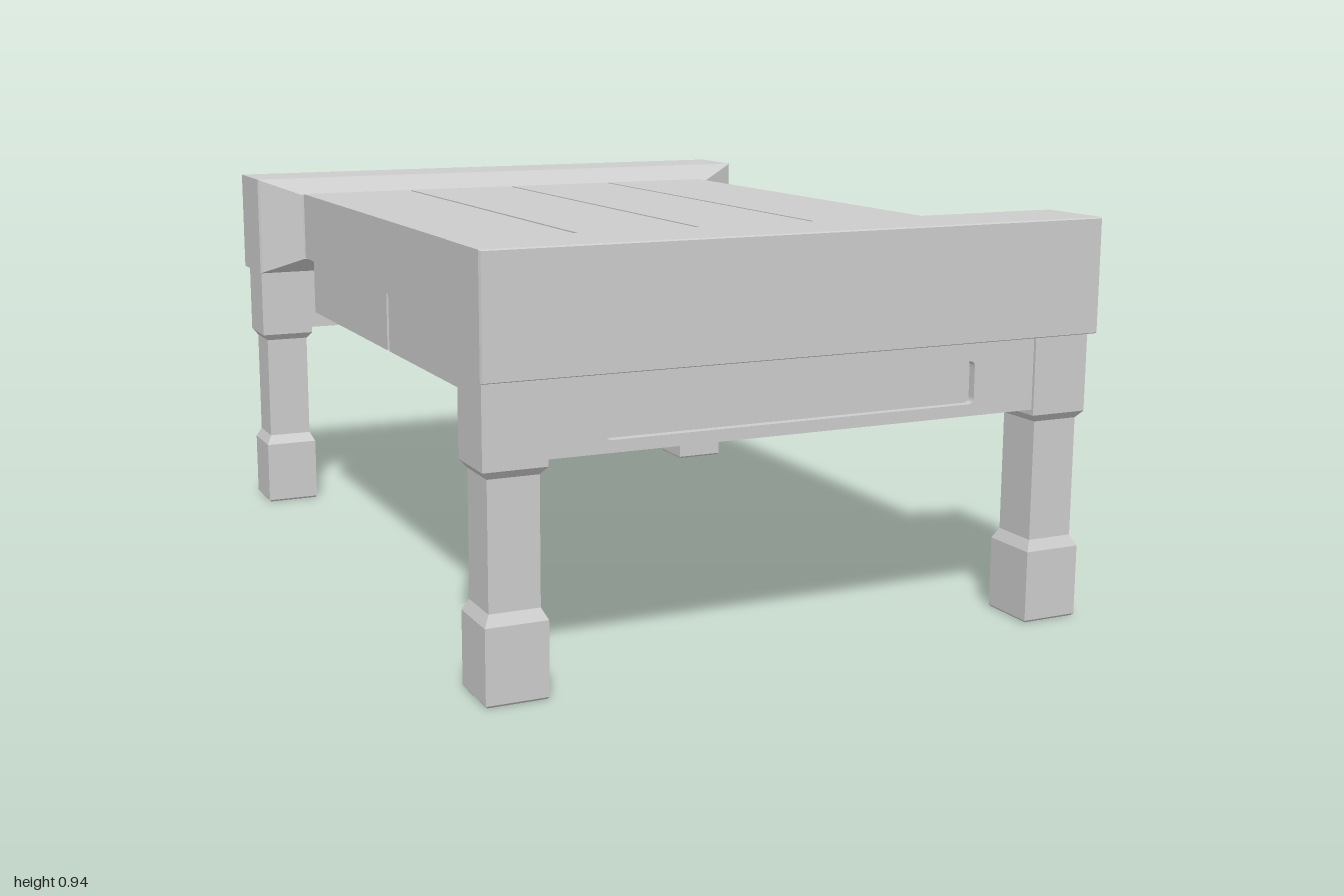
import * as THREE from 'three';

const material = new THREE.MeshStandardMaterial({ color: 0xcccccc, flatShading: true });
const smooth = new THREE.MeshStandardMaterial({ color: 0xcccccc });

function add(parent, name, geometry, x = 0, y = 0, z = 0, mat = material) {
  const mesh = new THREE.Mesh(geometry, mat);
  mesh.name = name;
  mesh.position.set(x, y, z);
  parent.add(mesh);
  return mesh;
}

// Box given by its limits
function block(parent, name, x0, x1, y0, y1, z0, z1) {
  return add(parent, name, new THREE.BoxGeometry(x1 - x0, y1 - y0, z1 - z0),
    (x0 + x1) / 2, (y0 + y1) / 2, (z0 + z1) / 2);
}

// Stack of rectangles along y, each [y, half width, half depth]
function loft(sections) {
  const positions = [], index = [];
  for (const [y, w, d] of sections) positions.push(-w, y, d, w, y, d, w, y, -d, -w, y, -d);
  for (let s = 0; s < sections.length - 1; s++) {
    for (let i = 0; i < 4; i++) {
      const a = s * 4 + i, b = s * 4 + (i + 1) % 4;
      index.push(a, b, b + 4, a, b + 4, a + 4);
    }
  }
  const t = (sections.length - 1) * 4;
  index.push(t, t + 1, t + 2, t, t + 2, t + 3, 0, 2, 1, 0, 3, 2);
  const indexed = new THREE.BufferGeometry();
  indexed.setAttribute('position', new THREE.Float32BufferAttribute(positions, 3));
  indexed.setIndex(index);
  const geometry = indexed.toNonIndexed();
  geometry.computeVertexNormals();
  return geometry;
}

// Apron front with a sunken, round-cornered slot
function slottedPanel(slotX) {
  const shape = new THREE.Shape([[-0.6, 0.505], [0.6, 0.505], [0.6, 0.68], [-0.6, 0.68]]
    .map(([x, y]) => new THREE.Vector2(x, y)));
  const x0 = slotX - 0.45, x1 = slotX + 0.45, y0 = 0.532, y1 = 0.63, r = 0.015;
  const slot = new THREE.Path();
  slot.moveTo(x0 + r, y0);
  slot.lineTo(x1 - r, y0);
  slot.quadraticCurveTo(x1, y0, x1, y0 + r);
  slot.lineTo(x1, y1 - r);
  slot.quadraticCurveTo(x1, y1, x1 - r, y1);
  slot.lineTo(x0 + r, y1);
  slot.quadraticCurveTo(x0, y1, x0, y1 - r);
  slot.lineTo(x0, y0 + r);
  slot.quadraticCurveTo(x0, y0, x0 + r, y0);
  shape.holes.push(slot);
  return new THREE.ExtrudeGeometry(shape, { depth: 0.02, bevelEnabled: false, curveSegments: 5 });
}

// One end: beam, apron and two legs
function createEnd(name, slotX) {
  const end = new THREE.Group();
  end.name = name;

  const beam = add(end, 'endBeam', loft([
    [0.742, 0.635, 0.09], [0.8, 0.74, 0.13], [0.806, 0.745, 0.1325],
    [0.994, 0.745, 0.1325], [1, 0.742, 0.13],
  ]), 0, 0.8075, 0);
  beam.rotation.x = Math.PI / 2;

  add(end, 'apronPanel', slottedPanel(slotX), 0, 0, 0.948);
  block(end, 'apronCore', -0.6, 0.6, 0.505, 0.68, 0.85, 0.948);

  const leg = loft([
    [0, 0.066, 0.066], [0.005, 0.07, 0.07], [0.17, 0.07, 0.07], [0.195, 0.057, 0.057],
    [0.475, 0.057, 0.057], [0.492, 0.071, 0.07], [0.68, 0.071, 0.07],
  ]);
  for (const side of [-1, 1]) add(end, side < 0 ? 'rightLeg' : 'leftLeg', leg, side * 0.665, 0, 0.905);
  return end;
}

export function createModel() {
  const model = new THREE.Group();
  model.name = 'bench';

  const front = createEnd('frontEnd', -0.015);
  const back = createEnd('backEnd', 0.015);
  back.rotation.y = Math.PI;
  model.add(front, back);

  // Top planks with narrow gaps
  const edges = [-0.63, -0.32, -0.01, 0.3, 0.61];
  for (let i = 0; i < 4; i++) {
    block(model, 'plank', edges[i] + (i ? 0.005 : 0), edges[i + 1] - (i < 3 ? 0.005 : 0), 0.72, 0.9, -0.76, 0.76);
  }

  // Two drawers with round knobs on the left side
  for (const [z0, z1, knobZ] of [[0.016, 0.685, 0.365], [-0.675, 0, -0.33]]) {
    block(model, 'drawer', -0.625, 0.608, 0.575, 0.72, z0, z1);
    add(model, 'drawerKnob', new THREE.SphereGeometry(0.032, 20, 14), 0.597, 0.66, knobZ, smooth);
  }
  return model;
}
